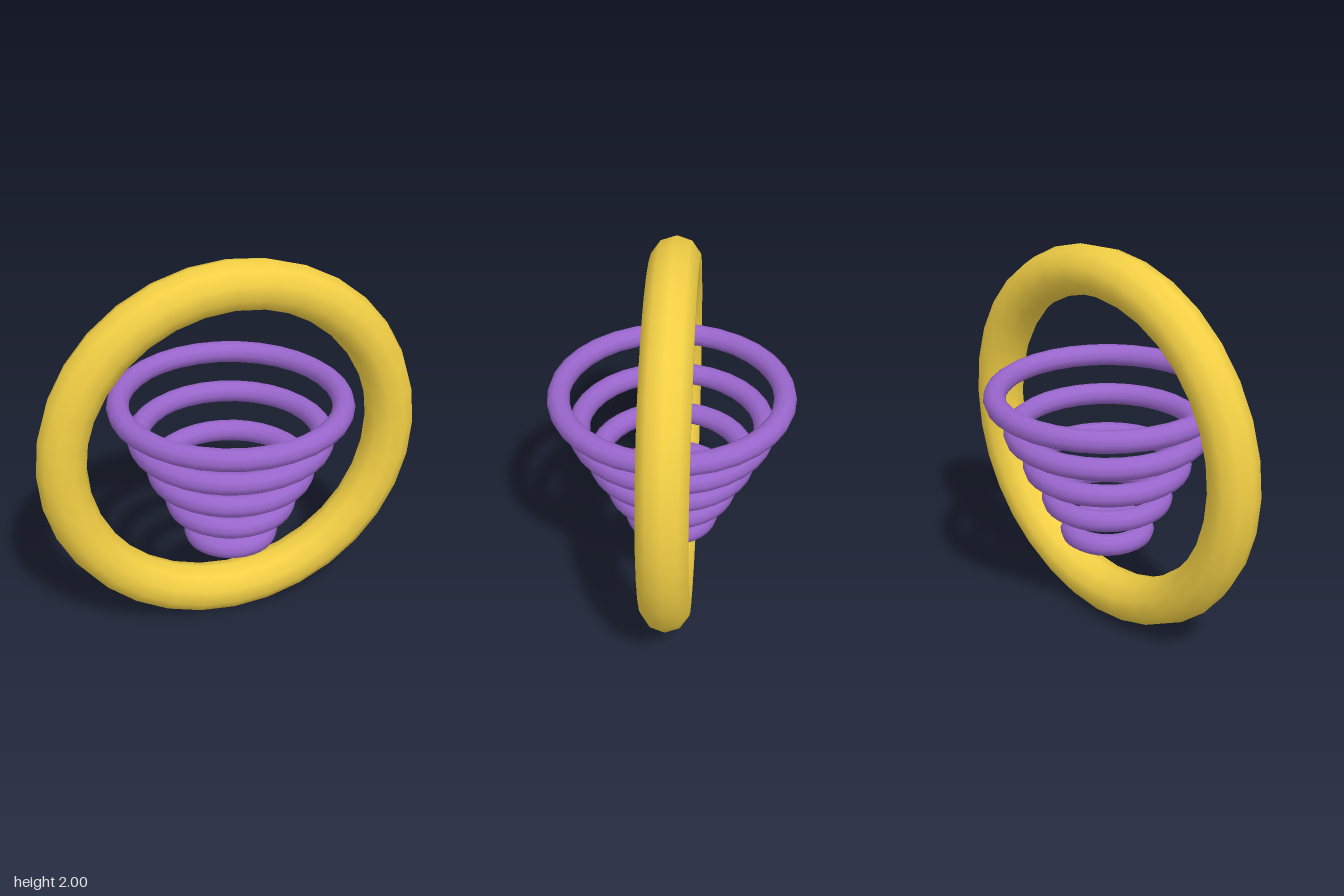
import * as THREE from 'three';

const TUBE_SIDES = 10;
const RING_STEPS = 32;

function ring(name, radius, tube, material) {
  const mesh = new THREE.Mesh(
    new THREE.TorusGeometry(radius, tube, TUBE_SIDES, RING_STEPS),
    material
  );
  mesh.name = name;
  return mesh;
}

export function createModel() {
  const group = new THREE.Group();
  group.name = 'ringSculpture';
  const gold = new THREE.MeshStandardMaterial({ color: 0xf2cf45 });
  const purple = new THREE.MeshStandardMaterial({ color: 0x9966cc });

  // Large upright ring
  const outer = ring('outerRing', 0.873, 0.127, gold);
  outer.position.y = 1;
  group.add(outer);

  // Stack of level rings, widening evenly towards the top
  const stack = new THREE.Group();
  stack.name = 'ringStack';
  for (let i = 0; i < 5; i++) {
    const level = ring(`levelRing${i + 1}`, 0.188 + i * 0.094, 0.0565, purple);
    level.rotation.x = -Math.PI / 2;
    level.position.y = 0.489 + i * 0.188;
    stack.add(level);
  }
  group.add(stack);

  return group;
}
